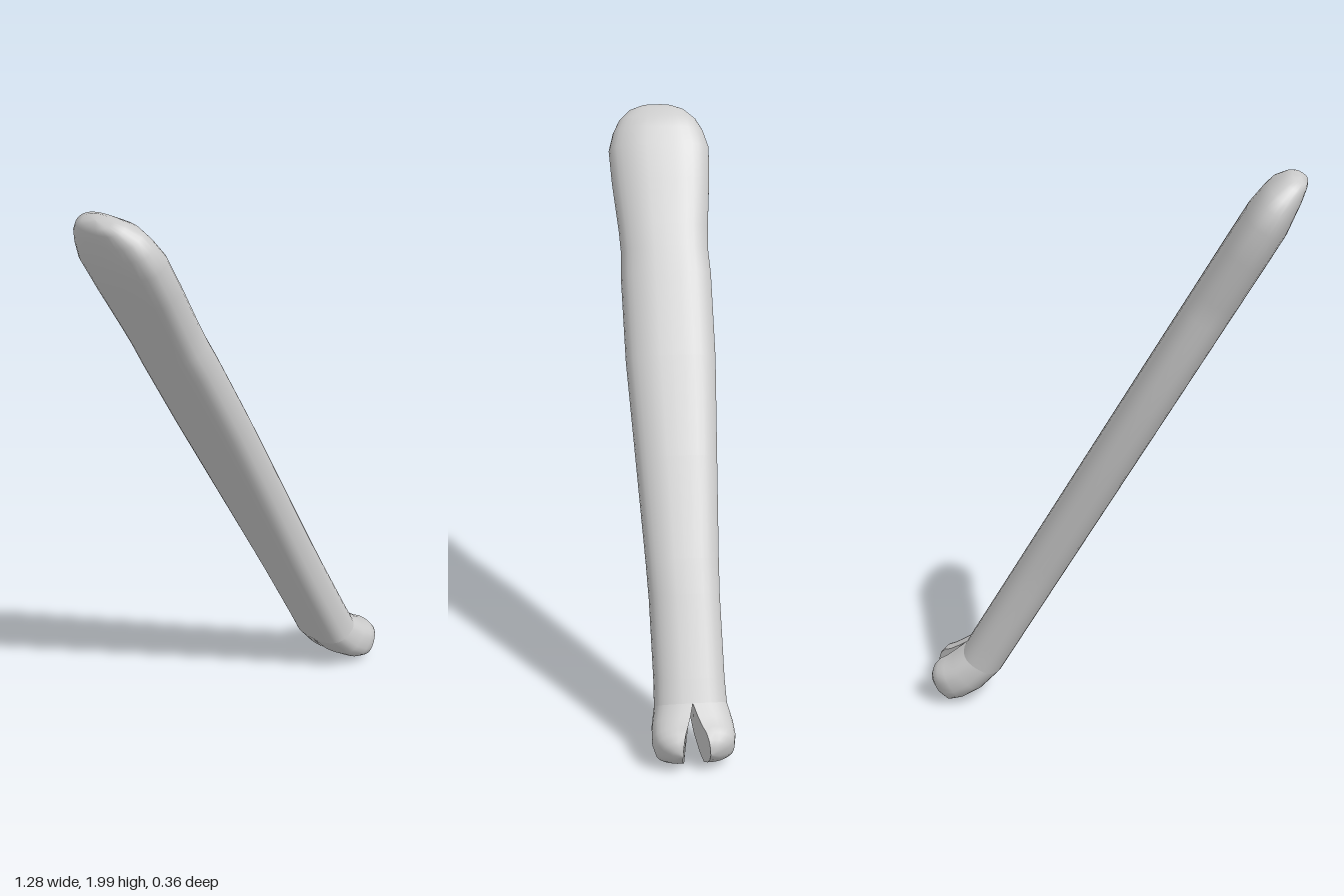
import * as THREE from 'three';

const material = new THREE.MeshStandardMaterial({ color: 0xcccccc, side: THREE.DoubleSide });

// Rounded, slightly squared-off curve for the cross-sections
const soft = (v) => Math.sign(v) * Math.pow(Math.abs(v), 0.78);

// Skin rings of points; closed rings join their last point to the first
function skin(name, rings, closed) {
  const n = rings[0].length;
  const index = [];
  for (let i = 0; i < rings.length - 1; i++) {
    for (let j = 0; j < (closed ? n : n - 1); j++) {
      const k = (j + 1) % n;
      const a = i * n + j, b = a + n, c = i * n + k, d = c + n;
      index.push(a, b, c, b, d, c);
    }
  }
  const geometry = new THREE.BufferGeometry();
  geometry.setAttribute('position', new THREE.Float32BufferAttribute(rings.flat(2), 3));
  geometry.setIndex(index);
  geometry.computeVertexNormals();
  const mesh = new THREE.Mesh(geometry, material);
  mesh.name = name;
  return mesh;
}

// One arc of cross-section: centre x, y, tilt of its normal, half thickness, half width, inner offset
function arc([x, y, tilt, t, w, gap = 0], from, to, steps, side = 0) {
  const points = [];
  for (let j = 0; j <= steps; j++) {
    const a = from + (to - from) * j / steps;
    const h = t * soft(Math.sin(a));
    const z = side * gap + (w - gap) * soft(Math.cos(a));
    points.push([x + Math.cos(tilt) * h, y + Math.sin(tilt) * h, z]);
  }
  return points;
}

export function createModel() {
  const group = new THREE.Group();
  group.name = 'pryBar';
  const tilt = Math.PI / 6;

  // Flat shaft: distance along the bar, half thickness, half width, offset across
  const shaft = [
    [-2.037, 0, 0, 0.452], [-2.033, 0.028, 0.06, 0.454], [-2.015, 0.042, 0.1, 0.459],
    [-1.975, 0.06, 0.137, 0.468], [-1.93, 0.068, 0.16, 0.47], [-1.865, 0.077, 0.178, 0.47],
    [-1.74, 0.078, 0.172, 0.47], [-1.57, 0.078, 0.157, 0.47], [-1.49, 0.078, 0.153, 0.47],
    [-1.4, 0.078, 0.158, 0.47], [-1.1, 0.078, 0.156, 0.47], [-0.75, 0.078, 0.14, 0.47],
    [-0.4, 0.078, 0.124, 0.47], [-0.28, 0.078, 0.12, 0.47], [0, 0.078, 0.119, 0.47],
    [0.08, 0.078, 0.122, 0.47],
  ].map(([s, t, w, n]) => [0.866 * n + 0.5 * s, 0.5 * n - 0.866 * s, tilt, t, w]);
  const rings = shaft.map((s) => arc(s, 0, Math.PI * 2, 32).slice(0, -1));
  group.add(skin('shaft', rings, true));

  // Bent claw split by a V notch
  const claw = [
    shaft[shaft.length - 1],
    [0.498, 0.118, 0.82, 0.08, 0.135, 0.012],
    [0.545, 0.088, 1.05, 0.077, 0.138, 0.024],
    [0.58, 0.076, 1.2, 0.074, 0.131, 0.033],
    [0.607, 0.075, 1.22, 0.053, 0.11, 0.04],
    [0.625, 0.073, 1.25, 0.026, 0.078, 0.044],
    [0.632, 0.073, 1.25, 0, 0.045, 0.045],
  ];
  for (const side of [1, -1]) {
    const from = side > 0 ? -Math.PI / 2 : Math.PI / 2;
    const outer = claw.map((c) => arc(c, from, from + Math.PI, 16, side));
    const prong = new THREE.Group();
    prong.name = side > 0 ? 'frontProng' : 'backProng';
    prong.add(skin('prongOuter', outer, false));
    // Flat notch wall closing the inside of the prong
    prong.add(skin('notchWall', outer.map((r) => [r[r.length - 1], r[0]]), false));
    group.add(prong);
  }
  return group;
}
